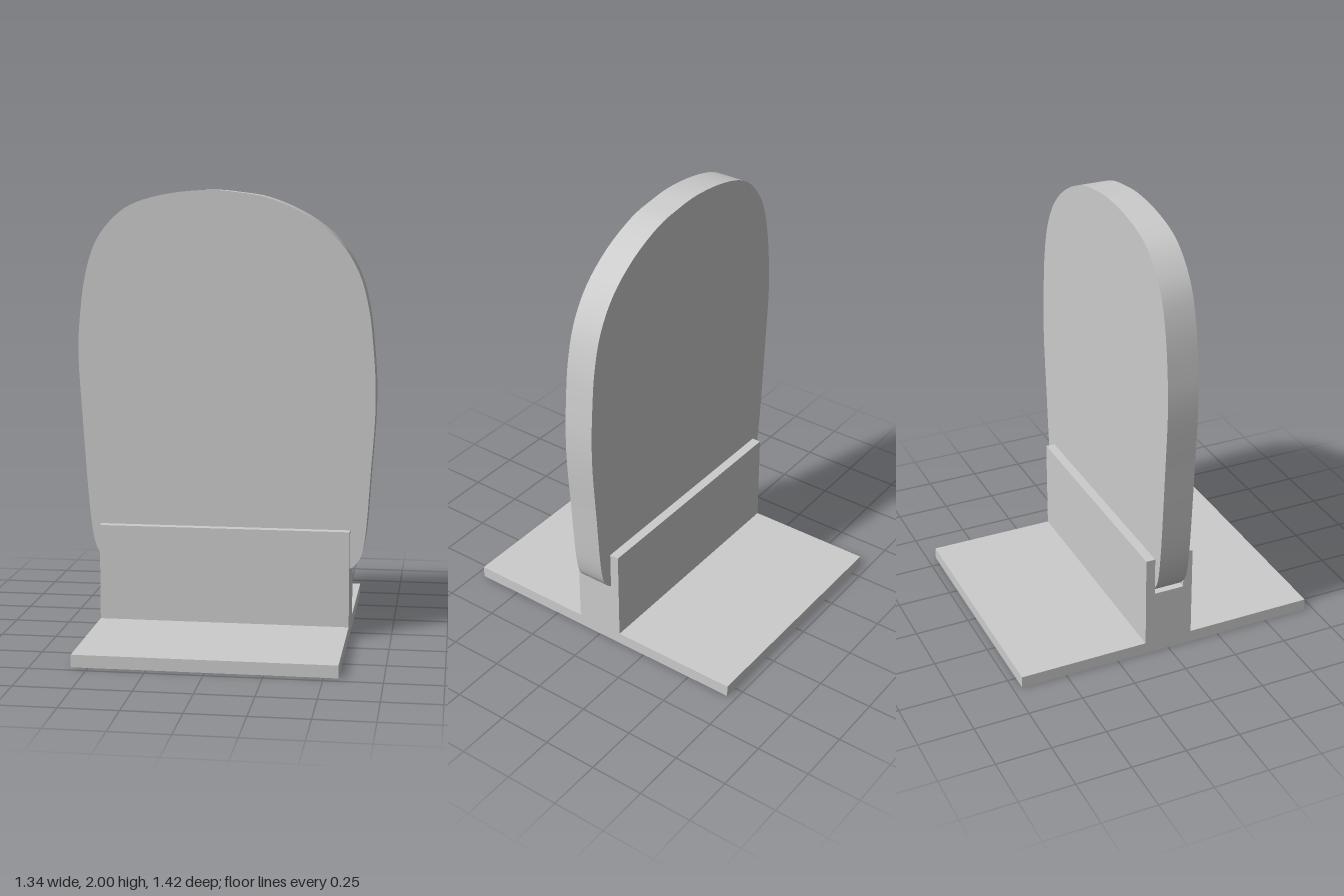
import * as THREE from 'three';
import { toCreasedNormals } from 'three/addons/utils/BufferGeometryUtils.js';

const material = new THREE.MeshStandardMaterial({ color: 0xcccccc });
const vectors = (points) => points.map(([x, y]) => new THREE.Vector2(x, y));

function addMesh(group, name, geometry) {
  const mesh = new THREE.Mesh(geometry, material);
  mesh.name = name;
  group.add(mesh);
}

// Upright plate: smooth, slightly lopsided rounded outline with a flat foot
function plateGeometry() {
  const halfThickness = 0.07;
  const outline = vectors([
    [0.56, 0.31], [0.6, 0.35], [0.621, 0.41], [0.635, 0.52], [0.65, 0.75],
    [0.666, 0.98], [0.667, 1.15], [0.655, 1.32], [0.635, 1.48], [0.59, 1.64],
    [0.5, 1.78], [0.36, 1.89], [0.19, 1.965], [0.05, 1.99], [-0.08, 2.0],
    [-0.25, 1.985], [-0.4, 1.947], [-0.5, 1.885], [-0.59, 1.77], [-0.64, 1.61],
    [-0.665, 1.42], [-0.672, 1.25], [-0.655, 0.96], [-0.632, 0.62],
    [-0.615, 0.46], [-0.6, 0.39], [-0.575, 0.345], [-0.54, 0.31],
  ]);
  const shape = new THREE.Shape(new THREE.SplineCurve(outline).getPoints(108));
  const geometry = new THREE.ExtrudeGeometry(shape, {
    depth: 2 * halfThickness, bevelEnabled: false,
  });
  geometry.translate(0, 0, -halfThickness);
  return toCreasedNormals(geometry, Math.PI / 6);
}

// Stand: inverted T section with a slot, extruded across the width
function standGeometry() {
  const left = -0.573, right = 0.562;
  const half = [[0.71, 0], [0.71, 0.055], [0.113, 0.055], [0.113, 0.49], [0.07, 0.49], [0.07, 0.31]];
  const mirrored = half.map(([z, y]) => [-z, y]).reverse();
  const shape = new THREE.Shape(vectors([...half, ...mirrored]));
  const geometry = new THREE.ExtrudeGeometry(shape, { depth: right - left, bevelEnabled: false });
  geometry.rotateY(Math.PI / 2);
  geometry.translate(left, 0, 0);
  return geometry;
}

export function createModel() {
  const model = new THREE.Group();
  model.name = 'plateOnStand';
  addMesh(model, 'plate', plateGeometry());
  addMesh(model, 'stand', standGeometry());
  return model;
}
